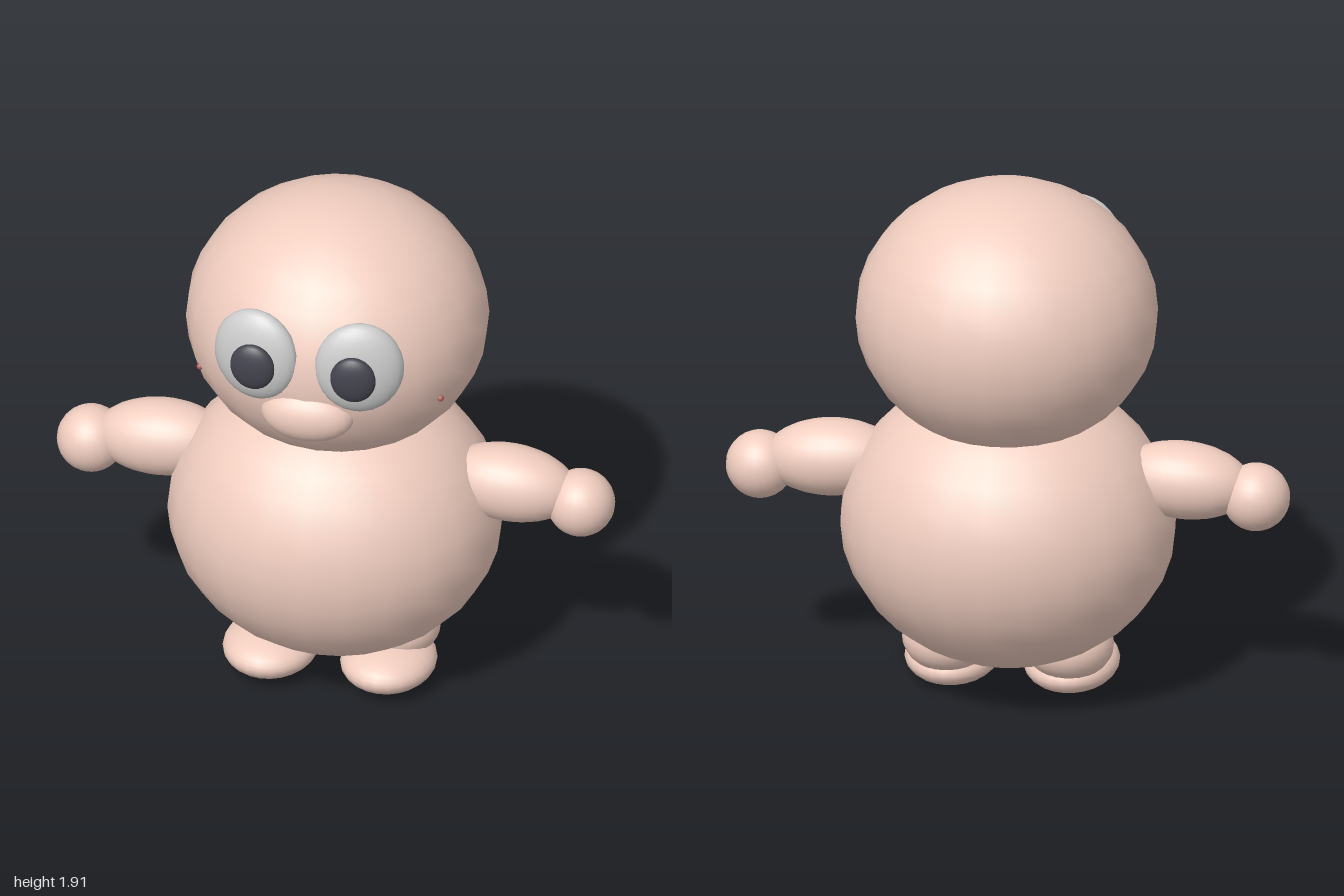
import * as THREE from 'three';

const skin = new THREE.MeshStandardMaterial({ color: 0xf0cdbf });
const grey = new THREE.MeshStandardMaterial({ color: 0xcccccc });
const dark = new THREE.MeshStandardMaterial({ color: 0x44444f });
const red = new THREE.MeshStandardMaterial({ color: 0xb06058 });

const ball = new THREE.SphereGeometry(1, 24, 16);

// Ellipsoid from centre, radii and optional rotation
function ellipsoid(name, material, centre, radii, rotation = [0, 0, 0]) {
  const mesh = new THREE.Mesh(ball, material);
  mesh.name = name;
  mesh.position.set(...centre);
  mesh.scale.set(...radii);
  mesh.rotation.set(...rotation);
  return mesh;
}

export function createModel() {
  const model = new THREE.Group();
  model.name = 'roundBird';

  // Body, head and beak
  model.add(
    ellipsoid('body', skin, [0, 0.65, 0], [0.59, 0.52, 0.535]),
    ellipsoid('head', skin, [0, 1.44, -0.03], [0.53, 0.475, 0.51]),
    ellipsoid('beak', skin, [0, 1.323, 0.43], [0.165, 0.1, 0.085], [-0.1, 0, 0]),
  );

  // Paired parts, mirrored in x
  for (const [side, s] of [['left', 1], ['right', -1]]) {
    const part = (name, material, [x, y, z], radii, [rx, ry, rz] = [0, 0, 0]) =>
      model.add(ellipsoid(side + name, material, [s * x, y, z], radii, [rx, s * ry, s * rz]));

    // Face
    part('Eye', grey, [0.185, 1.543, 0.425], [0.156, 0.173, 0.066], [-0.08, 0.2, 0]);
    part('Pupil', dark, [0.18, 1.54, 0.503], [0.08, 0.09, 0.036], [0, 0.08, 0]);
    part('MouthCorner', red, [0.43, 1.325, 0.235], [0.012, 0.012, 0.012]);

    // Arm
    part('Arm', skin, [0.622, 0.842, -0.005], [0.24, 0.137, 0.137], [0, 0, -0.06]);
    part('Hand', skin, [0.876, 0.796, -0.005], [0.12, 0.12, 0.12]);

    // Leg
    part('Leg', skin, [0.215, 0.195, -0.005], [0.158, 0.125, 0.152]);
    part('Foot', skin, [0.21, 0.095, 0.085], [0.168, 0.085, 0.205], [-0.06, 0, 0]);
  }
  return model;
}
